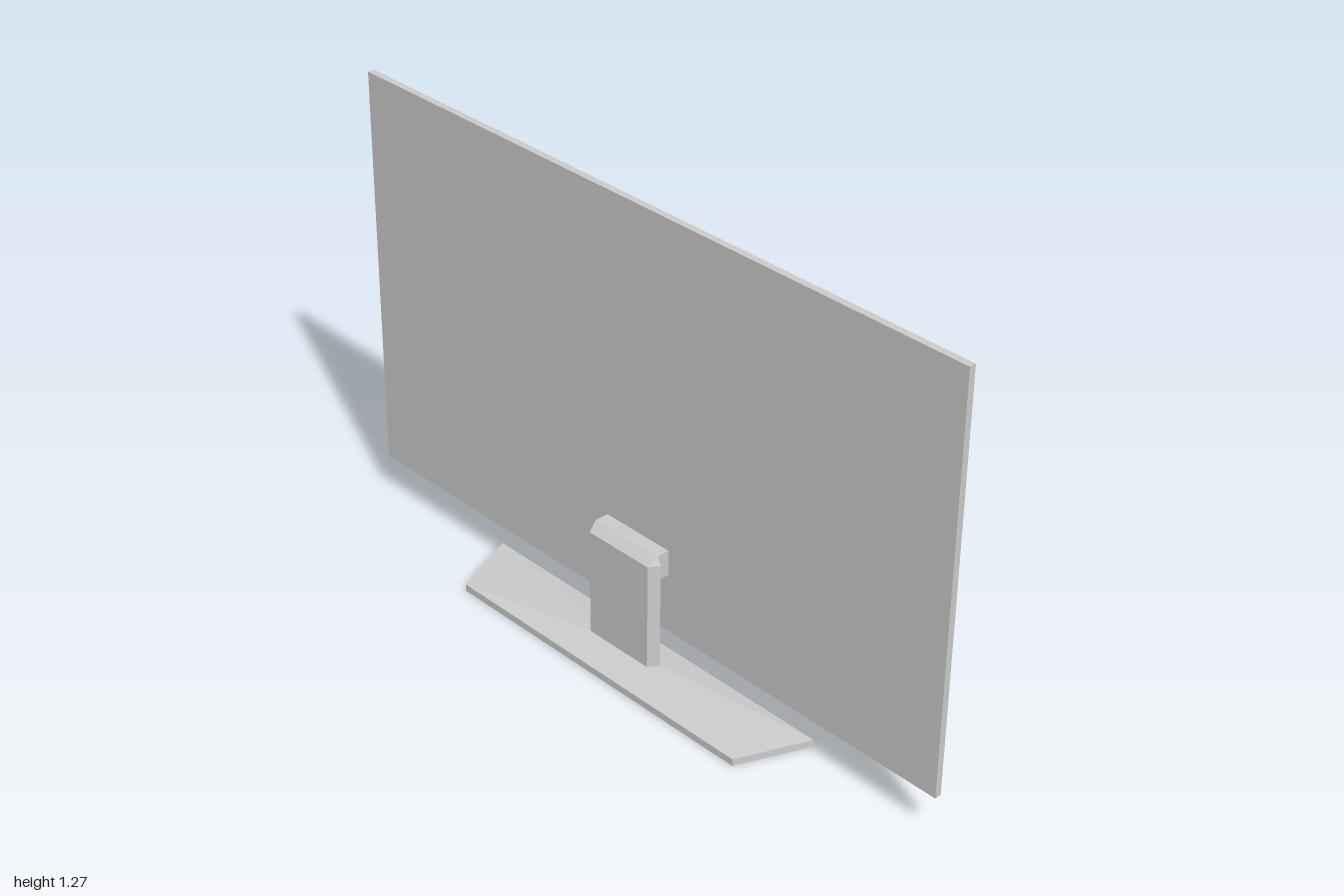
import * as THREE from 'three';

const material = new THREE.MeshStandardMaterial({ color: 0xcccccc, flatShading: true });

function addMesh(group, name, geometry) {
  const mesh = new THREE.Mesh(geometry, material);
  mesh.name = name;
  group.add(mesh);
  return mesh;
}

// Stacks four-sided sections, each [y, backX, backHalfWidth, frontX, frontHalfWidth].
function loft(sections) {
  const rings = sections.map(([y, bx, bw, fx, fw]) => [
    [bx, y, -bw], [bx, y, bw], [fx, y, fw], [fx, y, -fw],
  ]);
  const positions = [];
  const quad = (a, b, c, d) => positions.push(...a, ...b, ...c, ...a, ...c, ...d);
  for (let i = 0; i < rings.length - 1; i++) {
    const low = rings[i], high = rings[i + 1];
    for (let j = 0; j < 4; j++) {
      const k = (j + 1) % 4;
      quad(low[j], low[k], high[k], high[j]);
    }
  }
  const bottom = rings[0], top = rings[rings.length - 1];
  quad(bottom[3], bottom[2], bottom[1], bottom[0]);
  quad(...top);
  const geometry = new THREE.BufferGeometry();
  geometry.setAttribute('position', new THREE.Float32BufferAttribute(positions, 3));
  geometry.computeVertexNormals();
  return geometry;
}

function rectangle(PathType, x0, y0, x1, y1) {
  return new PathType([
    new THREE.Vector2(x0, y0), new THREE.Vector2(x1, y0),
    new THREE.Vector2(x1, y1), new THREE.Vector2(x0, y1),
  ]);
}

export function createModel() {
  const group = new THREE.Group();
  group.name = 'television';

  // Flat panel: its front face is the recessed screen
  const low = 0.12, high = 1.272, back = 0.052, screen = 0.066, front = 0.071;
  addMesh(group, 'screenPanel', new THREE.BoxGeometry(screen - back, high - low, 2))
    .position.set((back + screen) / 2, (low + high) / 2, 0);

  // Raised bezel, deeper along the bottom edge
  const outline = rectangle(THREE.Shape, -1, low, 1, high);
  outline.holes.push(rectangle(THREE.Path, -0.975, low + 0.045, 0.975, high - 0.025));
  const bezel = addMesh(group, 'bezel',
    new THREE.ExtrudeGeometry(outline, { depth: front - screen, bevelEnabled: false }));
  bezel.rotation.y = Math.PI / 2;
  bezel.position.x = screen;

  // Trapezoid foot with a top that slopes up to the neck
  addMesh(group, 'foot', loft([
    [0, -0.1, 0.496, 0.097, 0.577],
    [0.02, -0.1, 0.496, 0.097, 0.577],
    [0.036, -0.014, 0.108, 0.016, 0.124],
  ]));

  // Upright neck with tapered sides and a chamfered top
  addMesh(group, 'neck', loft([
    [0.03, -0.013, 0.105, 0.015, 0.122],
    [0.34, -0.013, 0.105, 0.015, 0.122],
    [0.362, 0.013, 0.111, 0.015, 0.112],
  ]));

  // Arm joining the neck to the back of the panel
  addMesh(group, 'mountingArm', new THREE.BoxGeometry(0.041, 0.072, 0.222))
    .position.set(0.0335, 0.326, 0);

  return group;
}
